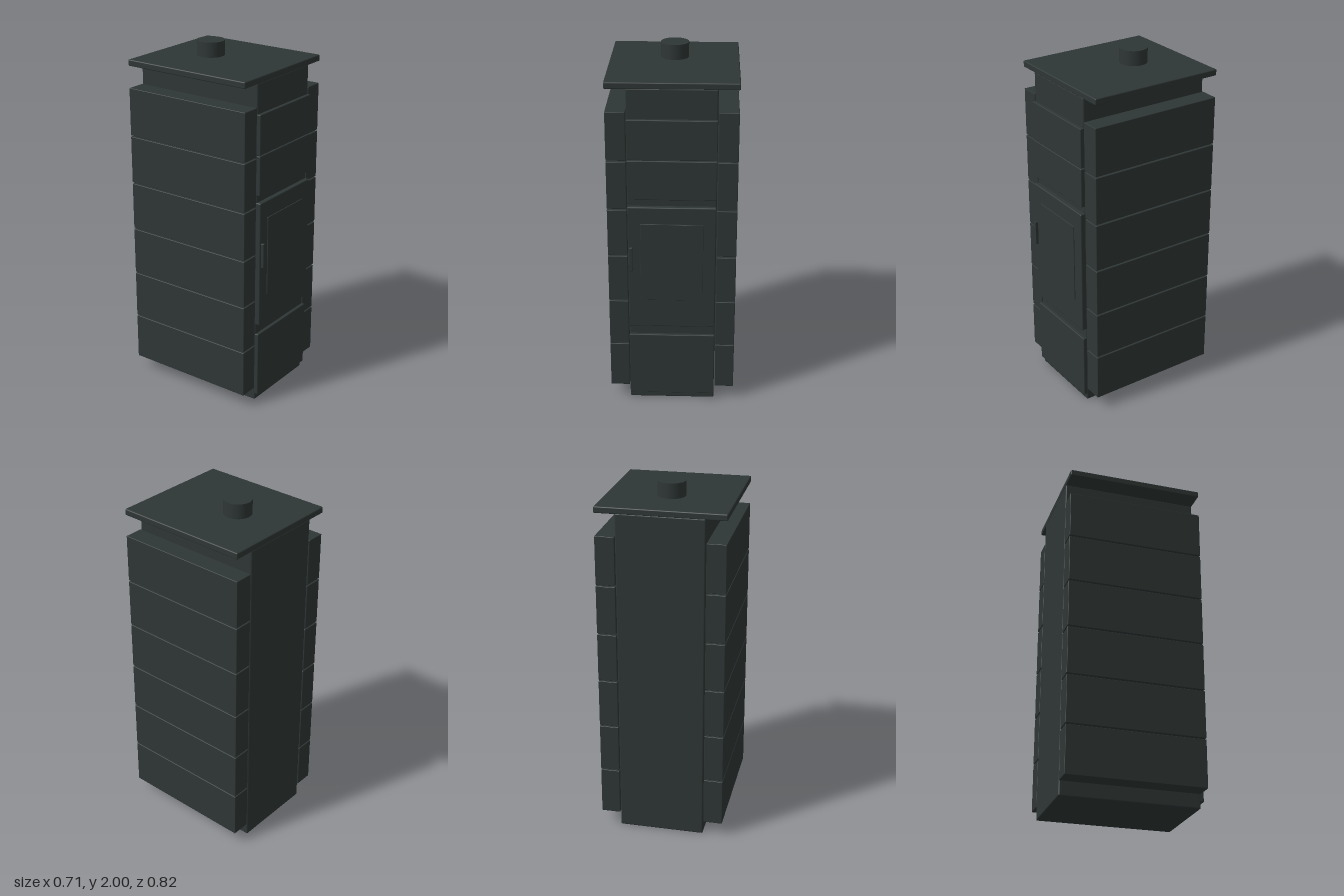
import * as THREE from 'three';
import { RoundedBoxGeometry } from 'three/addons/geometries/RoundedBoxGeometry.js';

export function createModel() {
  const stove = new THREE.Group();
  stove.name = 'stove';
  const iron = new THREE.MeshStandardMaterial({ color: 0x2e3635 });
  iron.name = 'dark iron';

  const add = (name, geometry, x, y, z) => {
    const mesh = new THREE.Mesh(geometry, iron);
    mesh.name = name;
    mesh.position.set(x, y, z);
    stove.add(mesh);
    return mesh;
  };

  // Softly rounded block given by its extents
  const block = (name, x0, x1, y0, y1, z0, z1, r = 0.004) =>
    add(name, new RoundedBoxGeometry(x1 - x0, y1 - y0, z1 - z0, 2, r),
      (x0 + x1) / 2, (y0 + y1) / 2, (z0 + z1) / 2);

  const back = -0.412, front = 0.37;

  // Central firebox, cover plate and flue
  block('body', -0.242, 0.242, 0, 1.885, back, front, 0.008);
  block('topPlate', -0.356, 0.356, 1.88, 1.916, back, front, 0.006);
  add('fluePipe', new THREE.CylinderGeometry(0.078, 0.078, 0.09, 48), 0, 1.955, -0.116);

  // Six stacked stone slabs on each side
  const pitch = 0.2804, slabHeight = 0.273;
  for (const side of [-1, 1]) {
    for (let i = 0; i < 6; i++) {
      const y = 0.08 + i * pitch;
      const inner = side * 0.246, outer = side * 0.354;
      block('sideSlab', Math.min(inner, outer), Math.max(inner, outer),
        y, y + slabHeight, back, front, 0.003);
    }
  }

  // Front panels: lower drawer and two upper plates
  for (const [name, y0, y1] of [
    ['drawerPanel', 0.04, 0.428],
    ['upperPanel', 1.265, 1.489],
    ['upperPanel', 1.494, 1.718],
  ]) block(name, -0.241, 0.241, y0, y1, 0.36, 0.389);

  // Fire door with raised window and edge handle
  block('door', -0.241, 0.241, 0.488, 1.223, 0.36, 0.395, 0.006);
  block('doorWindow', -0.172, 0.172, 0.66, 1.125, 0.385, 0.4, 0.002);
  block('doorHandle', -0.231, -0.216, 0.843, 0.987, 0.388, 0.412, 0.003);

  return stove;
}
